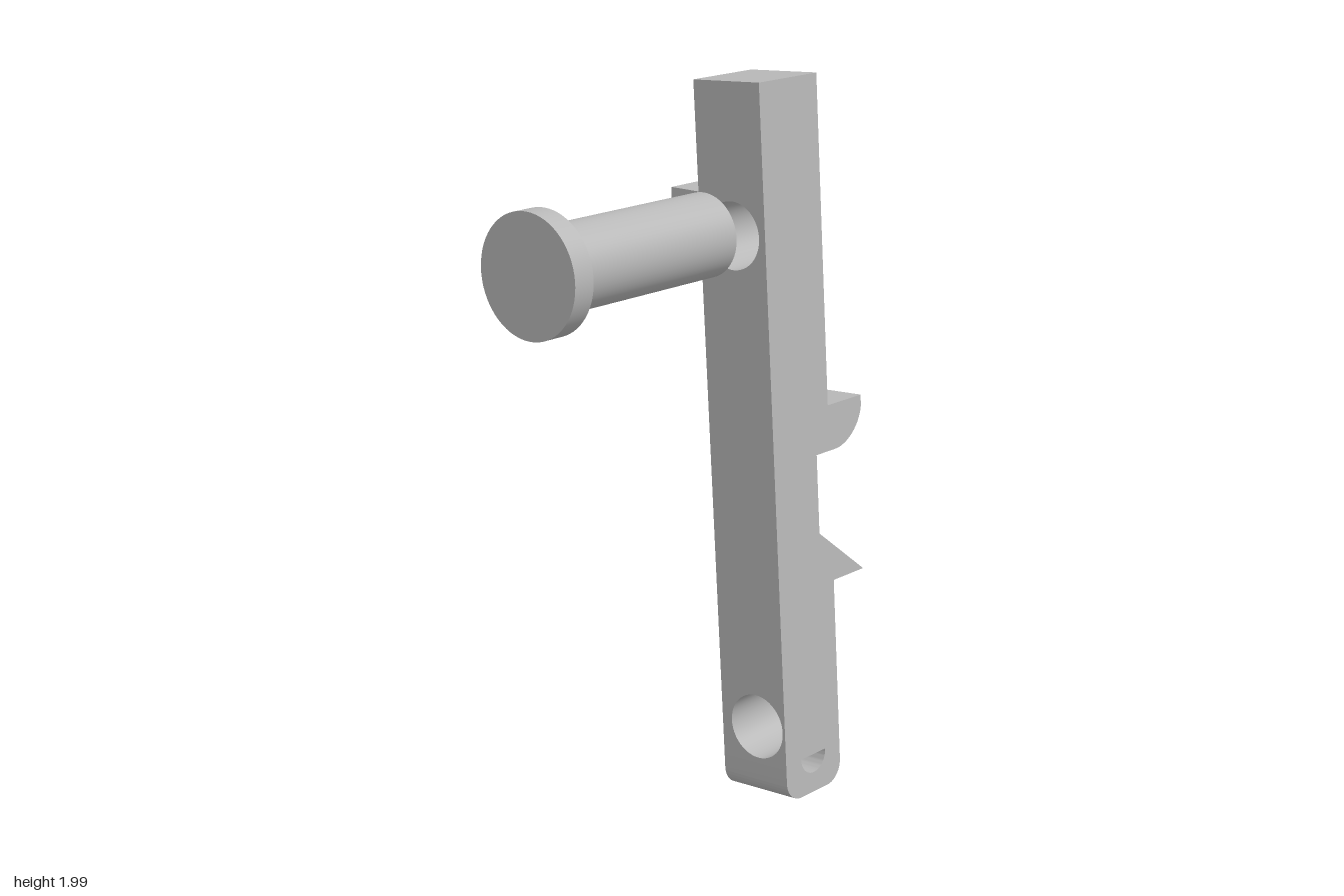
import * as THREE from 'three';
import { toCreasedNormals } from 'three/addons/utils/BufferGeometryUtils.js';

const X0 = 0.14, X1 = 0.375, WIDTH = X1 - X0, DEPTH = 0.225, TILT = -0.063;

export function createModel() {
  const grey = new THREE.MeshStandardMaterial({ color: 0xb8b8b8 });
  grey.name = 'grey';
  const model = new THREE.Group();
  model.name = 'latchLever';

  const add = (parent, name, geometry) => {
    const mesh = new THREE.Mesh(geometry, grey);
    mesh.name = name;
    parent.add(mesh);
    return mesh;
  };
  const extrude = (shape, depth) =>
    new THREE.ExtrudeGeometry(shape, { depth, bevelEnabled: false, curveSegments: 24 });

  // Slightly tilted bar, with its front bottom edge at the group's origin
  const bar = new THREE.Group();
  bar.name = 'bar';
  bar.position.set(0, 0.015, 0.237);
  bar.rotation.x = TILT;
  model.add(bar);

  // Bar sections with a round hole from side to side
  const holedSection = (name, bottom, top, holeDepth, holeY, radius) => {
    const shape = new THREE.Shape();
    shape.moveTo(0, bottom).lineTo(DEPTH, bottom).lineTo(DEPTH, top).lineTo(0, top).closePath();
    const hole = new THREE.Path();
    hole.absarc(holeDepth, holeY, radius, 0, Math.PI * 2, true);
    shape.holes.push(hole);
    const g = extrude(shape, WIDTH).rotateY(Math.PI / 2).translate(X0, 0, 0);
    add(bar, name, toCreasedNormals(g, 0.6));
  };
  holedSection('lowerSection', 0.11, 0.4, 0.1, 0.207, 0.092);
  holedSection('upperSection', 1.3, 1.987, 0.1125, 1.58, 0.092);

  // Middle section with the notch, the pointed tooth and the rounded hook
  const teeth = new THREE.Shape();
  teeth.moveTo(X0, 0.4).lineTo(X1, 0.4).lineTo(X1, 0.587)
    .lineTo(0.507, 0.587).lineTo(0.32, 0.735)
    .lineTo(0.32, 0.957).lineTo(0.4, 0.957)
    .bezierCurveTo(0.455, 0.957, 0.51, 1.0, 0.52, 1.055)
    .lineTo(0.52, 1.085).lineTo(X1, 1.085).lineTo(X1, 1.3).lineTo(X0, 1.3).closePath();
  add(bar, 'toothedSection', toCreasedNormals(extrude(teeth, DEPTH).translate(0, 0, -DEPTH), 0.6));

  // Foot with rounded corners, a half-round hole and a back sloping inward to the bottom
  const r = 0.06, top = 0.11, holeX = 0.258, holeR = 0.053;
  const foot = new THREE.Shape();
  foot.moveTo(X0, top).lineTo(X0, r);
  foot.absarc(X0 + r, r, r, Math.PI, Math.PI * 1.5, false);
  foot.absarc(X1 - r, r, r, Math.PI * 1.5, Math.PI * 2, false);
  foot.lineTo(X1, top).lineTo(holeX + holeR, top);
  foot.absarc(holeX, top, holeR, 0, Math.PI, true);
  foot.closePath();
  const footGeometry = extrude(foot, DEPTH).translate(0, 0, -DEPTH);
  const p = footGeometry.attributes.position;
  for (let i = 0; i < p.count; i++) {
    if (p.getZ(i) < -0.1) p.setZ(i, -(0.188 + (DEPTH - 0.188) * p.getY(i) / top));
  }
  add(bar, 'foot', toCreasedNormals(footGeometry, 0.6));

  // Rim left standing beside the sloping back of the foot
  const rim = new THREE.Shape();
  rim.moveTo(X0, top).lineTo(X0, r);
  rim.absarc(X0 + r, r, r, Math.PI, Math.PI * 1.39, false);
  rim.lineTo(X0 + 0.04, top).closePath();
  add(bar, 'footRim', toCreasedNormals(extrude(rim, 0.08).translate(0, 0, -DEPTH), 0.6));

  // Square block behind the bar that carries the pin
  add(model, 'pinBlock', new THREE.BoxGeometry(WIDTH, 0.23, 0.112))
    .position.set((X0 + X1) / 2, 1.573, -0.134);

  // Pin and its flat head
  const rod = (name, radius, from, to) => {
    const g = new THREE.CylinderGeometry(radius, radius, to - from, 64).rotateZ(Math.PI / 2);
    add(model, name, g).position.set((from + to) / 2, 1.573, -0.075);
  };
  rod('pin', 0.115, -0.47, X0);
  rod('pinHead', 0.165, -0.523, -0.458);

  return model;
}
